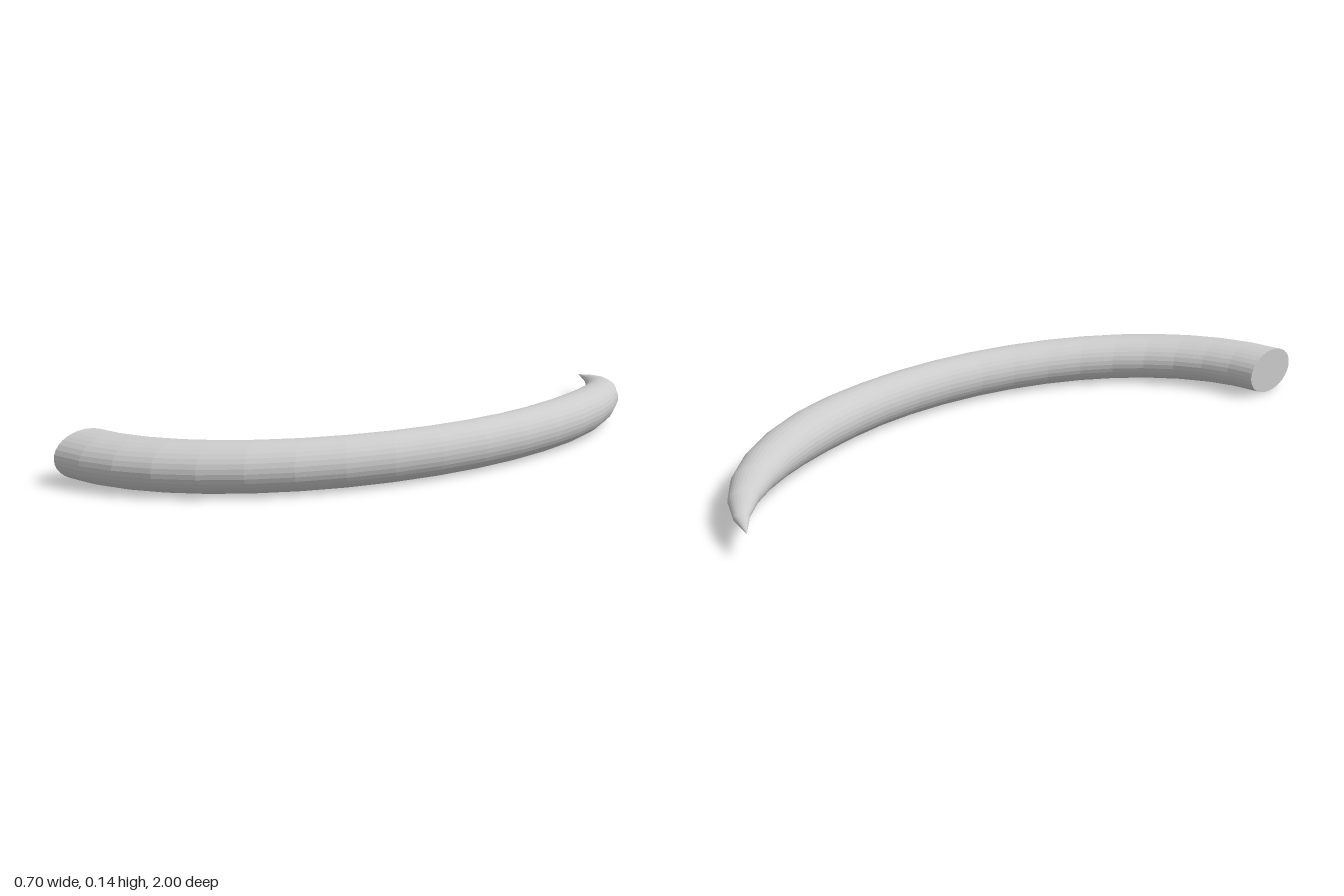
import * as THREE from 'three';

const SIDES = 32, STEPS = 20;
const TUBE = 0.071;          // section radius
const BEND = 0.664;          // radius of the bent centre line
const STRETCH = 1.45;        // lengthening along z
const CENTRE = new THREE.Vector3(-0.39, 0.072, -0.042);
const BASE = THREE.MathUtils.degToRad(86.5);
const TIP = THREE.MathUtils.degToRad(-77);
const TAPER = THREE.MathUtils.degToRad(-20);

// Full thickness along the body, easing to a point at the tip
function radiusAt(angle) {
  const t = Math.min(1, (angle - TIP) / (TAPER - TIP));
  return TUBE * Math.sin(t * Math.PI / 2);
}

export function createModel() {
  const group = new THREE.Group();
  group.name = 'horn';

  // Straight horn: closed flat base, then the tapering side
  const profile = [new THREE.Vector2(0, 0)];
  for (let i = 0; i <= STEPS; i++) {
    const t = i / STEPS;
    profile.push(new THREE.Vector2(radiusAt(BASE + (TIP - BASE) * t), t));
  }
  const geometry = new THREE.LatheGeometry(profile, SIDES);

  // Bend it around an arc, then stretch the arc along z
  const p = geometry.attributes.position;
  for (let i = 0; i < p.count; i++) {
    const angle = BASE + (TIP - BASE) * p.getY(i);
    const r = BEND + p.getX(i);
    p.setXYZ(i,
      CENTRE.x + r * Math.cos(angle),
      CENTRE.y + p.getZ(i),
      (CENTRE.z + r * Math.sin(angle)) * STRETCH);
  }
  geometry.computeVertexNormals();

  const horn = new THREE.Mesh(geometry,
    new THREE.MeshStandardMaterial({ color: 0xcccccc, flatShading: true }));
  horn.name = 'curvedHorn';
  group.add(horn);
  return group;
}
